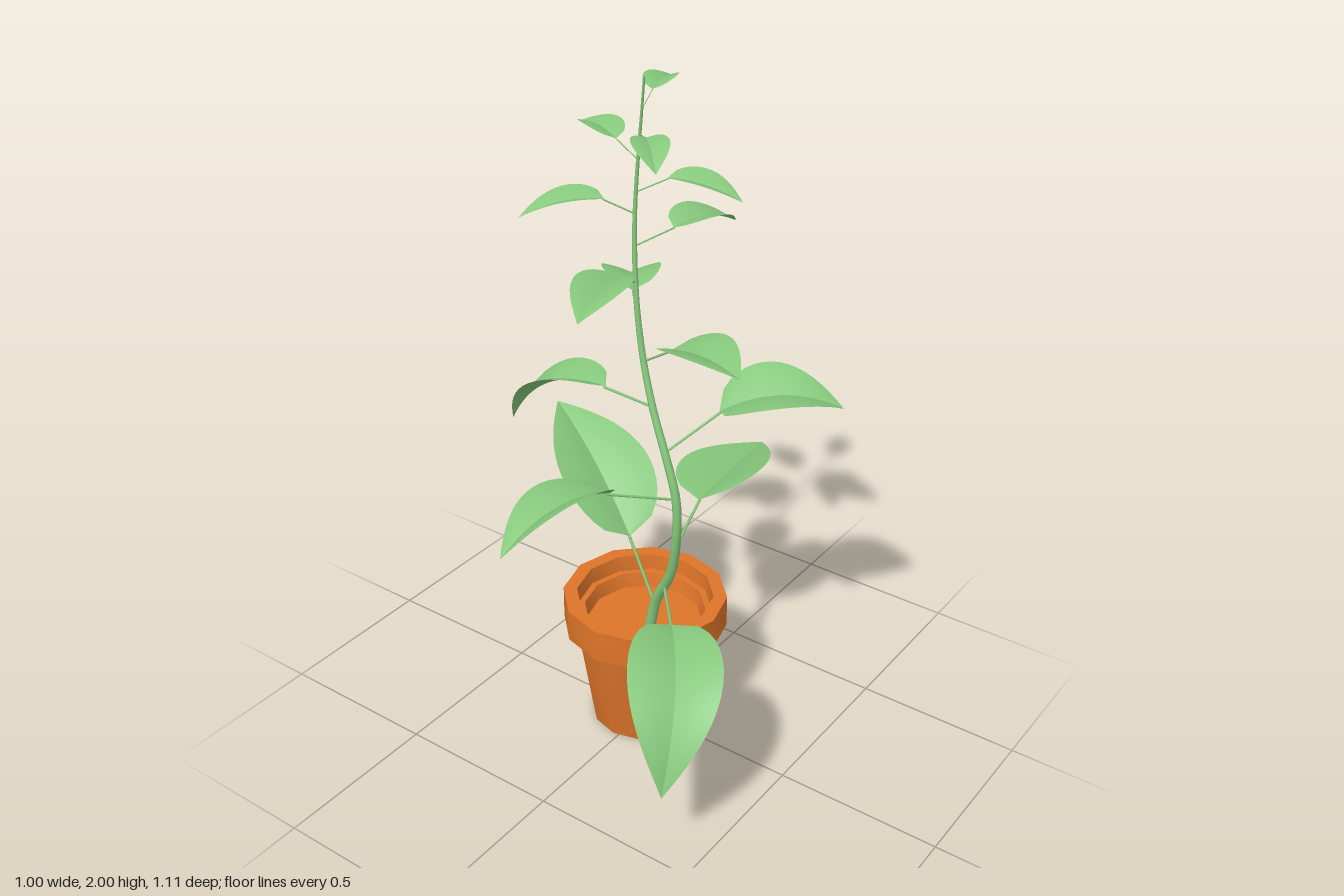
import * as THREE from 'three';
import { toCreasedNormals } from 'three/addons/utils/BufferGeometryUtils.js';

const V = (a) => new THREE.Vector3(...a);

export function createModel() {
  const group = new THREE.Group();
  const terracotta = new THREE.MeshStandardMaterial({ color: 0xde752a });
  terracotta.name = 'terracotta';
  const green = new THREE.MeshStandardMaterial({ color: 0x86c87c, side: THREE.DoubleSide });
  green.name = 'leafGreen';

  const add = (name, geometry, material, parent = group) => {
    const mesh = new THREE.Mesh(geometry, material);
    mesh.name = name;
    parent.add(mesh);
    return mesh;
  };

  // Pot: tapered body, thick rim and a recessed inside
  const profile = [
    [0, 0], [0.163, 0], [0.214, 0.33], [0.246, 0.33], [0.246, 0.43],
    [0.205, 0.43], [0.2, 0.38], [0.182, 0.38], [0.172, 0.335], [0, 0.335],
  ].map(([r, y]) => new THREE.Vector2(r, y));
  const pot = add('pot', toCreasedNormals(new THREE.LatheGeometry(profile, 12), Math.PI / 5), terracotta);
  pot.position.set(-0.017, 0, -0.022);

  // Stem: a winding tube that thins towards the top
  const stemCurve = new THREE.CatmullRomCurve3([
    [0.015, 0.335, -0.005], [0.04, 0.44, 0], [0.105, 0.57, 0.02], [0.135, 0.705, 0.037],
    [0.133, 0.84, 0.037], [0.09, 0.96, 0.027], [0.035, 1.08, 0.01], [-0.013, 1.21, -0.01],
    [-0.04, 1.34, -0.02], [-0.055, 1.45, -0.03], [-0.065, 1.61, -0.042],
    [-0.056, 1.79, -0.047], [-0.042, 1.9, -0.042], [-0.025, 2, -0.03],
  ].map(V));
  const rings = 48, sides = 8;
  const stemGeo = new THREE.TubeGeometry(stemCurve, rings, 1, sides);
  const pos = stemGeo.attributes.position;
  const p = new THREE.Vector3();
  for (let i = 0; i <= rings; i++) {
    const c = stemCurve.getPointAt(i / rings);
    const r = THREE.MathUtils.lerp(0.017, 0.003, i / rings);
    for (let j = 0; j <= sides; j++) {
      const k = i * (sides + 1) + j;
      p.fromBufferAttribute(pos, k).sub(c).multiplyScalar(r).add(c);
      pos.setXYZ(k, p.x, p.y, p.z);
    }
  }
  add('stem', stemGeo, green);

  // Point on the stem at a given height
  const stemAt = (y) => {
    let lo = 0, hi = 1;
    for (let i = 0; i < 20; i++) {
      const m = (lo + hi) / 2;
      if (stemCurve.getPoint(m).y < y) lo = m; else hi = m;
    }
    return stemCurve.getPoint(lo);
  };

  // Leaf outline: rounded at the base, nearly straight towards the tip
  const outline = (t) => (t < 0.38
    ? Math.sqrt(1 - (1 - t / 0.38) ** 2)
    : Math.max(0, Math.cos((Math.PI / 2) * (t - 0.38) / 0.62)));

  // Leaf: arched midrib with two raised halves meeting in a crease
  const leafGeometry = (base, tip, width, arch, roll, bend) => {
    const rows = 16, cols = 4, verts = [], index = [];
    const chord = tip.clone().sub(base);
    const axis = chord.clone().normalize();
    const level = new THREE.Vector3(chord.z, 0, -chord.x).normalize();
    const up = axis.clone().cross(level);
    const side = level.clone().applyAxisAngle(axis, roll);
    for (const s of [-1, 1]) {
      const start = verts.length / 3;
      for (let i = 0; i <= rows; i++) {
        const t = i / rows;
        const hump = 4 * t * (1 - t), slope = 4 * (1 - 2 * t);
        const mid = base.clone().addScaledVector(chord, t)
          .addScaledVector(up, arch * hump).addScaledVector(level, bend * hump);
        const normal = chord.clone().addScaledVector(up, arch * slope).cross(side).normalize();
        const w = (width / 2) * outline(t);
        for (let j = 0; j <= cols; j++) {
          const u = j / cols;
          const q = mid.clone().addScaledVector(side, s * w * u)
            .addScaledVector(normal, w * (0.48 * u - 0.15 * u * u));
          verts.push(q.x, q.y, q.z);
        }
      }
      for (let i = 0; i < rows; i++) {
        for (let j = 0; j < cols; j++) {
          const a = start + i * (cols + 1) + j, b = a + cols + 1;
          if (s > 0) index.push(a, b, a + 1, b, b + 1, a + 1);
          else index.push(a, a + 1, b, b, a + 1, b + 1);
        }
      }
    }
    const geo = new THREE.BufferGeometry();
    geo.setAttribute('position', new THREE.Float32BufferAttribute(verts, 3));
    geo.setIndex(index);
    geo.computeVertexNormals();
    return geo;
  };

  // Each leaf: stalk height on stem, base, tip, width, arch, roll, sideways bend
  const leaves = [
    [0.51, [0.215, 0.525, 0.17], [0.424, 0.245, 0.51], 0.26, 0.11, 0, 0.026],
    [0.42, [-0.09, 0.59, -0.045], [-0.498, 0.84, -0.222], 0.29, 0.03],
    [0.68, [0.1, 0.745, -0.127], [0.043, 0.72, -0.558], 0.265, 0.004, -0.15],
    [0.84, [0.015, 0.895, 0.19], [-0.07, 0.84, 0.553], 0.225, 0.054, 0.27],
    [0.97, [0.165, 1.06, -0.125], [0.447, 1.07, -0.325], 0.225, 0.047, 0.15],
    [1.09, [-0.13, 1.105, 0.01], [-0.415, 0.945, 0.083], 0.2, 0.065, 0.12],
    [1.21, [0.095, 1.285, 0.01], [0.383, 1.325, 0.115], 0.19, 0.02],
    [1.32, [-0.13, 1.352, -0.12], [-0.3, 1.255, -0.333], 0.17, 0.04],
    [1.43, [-0.04, 1.485, 0.065], [0.022, 1.46, 0.32], 0.155, 0.016],
    [1.53, [-0.01, 1.56, -0.145], [0.043, 1.52, -0.37], 0.14, 0.023],
    [1.62, [-0.125, 1.665, 0.012], [-0.295, 1.62, 0.163], 0.125, 0.018],
    [1.68, [0.025, 1.733, -0.065], [0.222, 1.69, -0.124], 0.12, 0.014],
    [1.77, [-0.13, 1.812, -0.05], [-0.31, 1.805, -0.124], 0.11, 0.014],
    [1.84, [0.01, 1.86, 0.01], [0.125, 1.82, 0.127], 0.1, 0.014],
    [1.91, [-0.05, 1.946, -0.1], [-0.093, 1.935, -0.258], 0.09, 0.014],
  ];
  leaves.forEach(([y, b, t, width, arch, roll = 0, bend = 0], n) => {
    const leaf = new THREE.Group();
    leaf.name = `leaf${n + 1}`;
    const base = V(b), tip = V(t);
    const stalkPath = new THREE.LineCurve3(stemAt(y), base.clone().lerp(tip, 0.02));
    const stalkRadius = THREE.MathUtils.lerp(0.005, 0.0012, n / (leaves.length - 1));
    add('leafStalk', new THREE.TubeGeometry(stalkPath, 1, stalkRadius, 6), green, leaf);
    add('leafBlade', leafGeometry(base, tip, width, arch, roll, bend), green, leaf);
    group.add(leaf);
  });

  return group;
}
